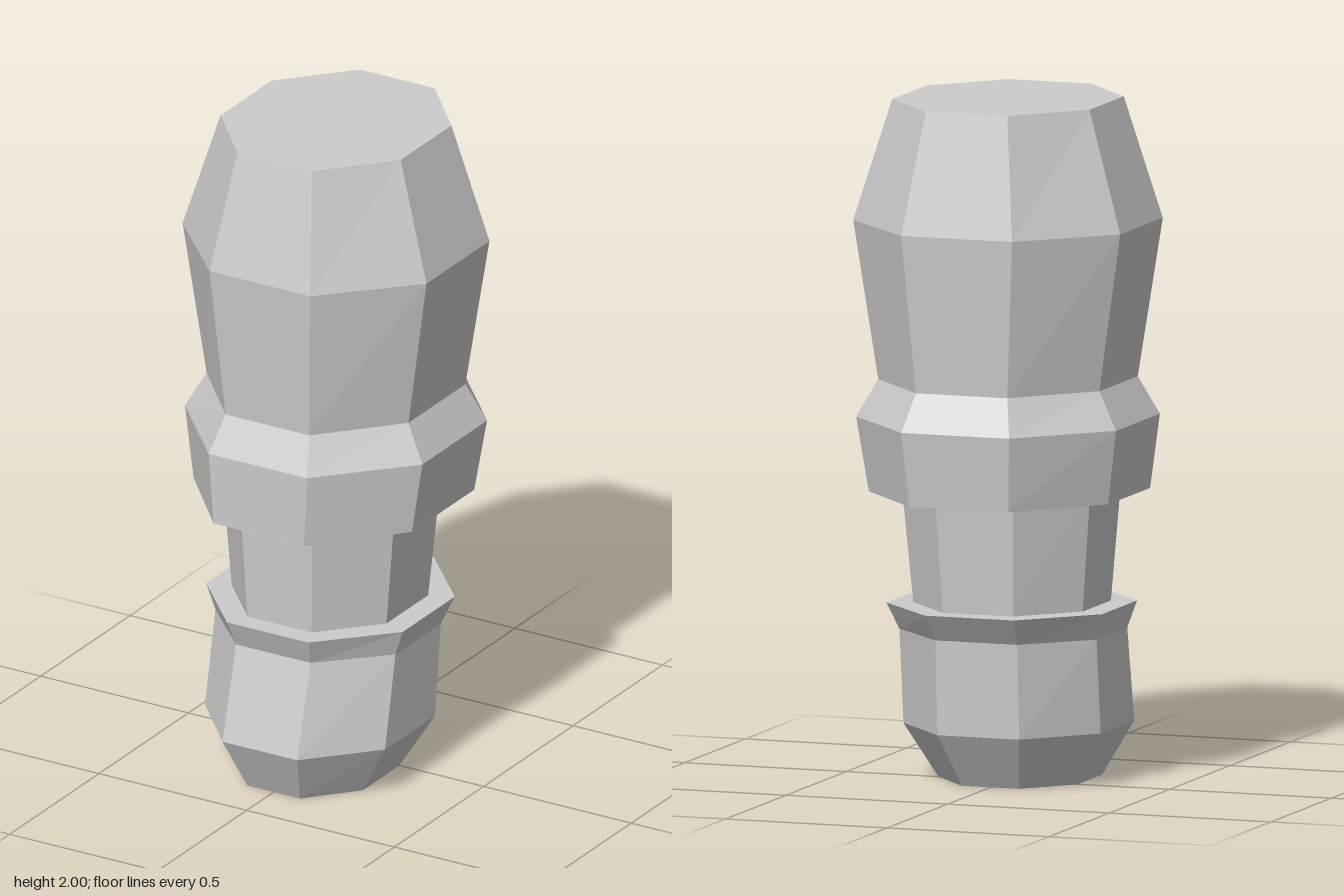
import * as THREE from 'three';

const SIDES = 8;

// Octagonal cross-section: height, half width in x, half depth in z, z centre
function ring([y, hx, hz, cz]) {
  const k = 1 / Math.cos(Math.PI / SIDES);
  return Array.from({ length: SIDES }, (_, i) => {
    const a = ((i + 0.5) / SIDES) * Math.PI * 2;
    return [Math.sin(a) * hx * k, y, cz + Math.cos(a) * hz * k];
  });
}

// Skin the rings from bottom to top; a ring of zero width closes the end
function loft(name, sections, material) {
  const pos = [];
  for (let s = 0; s < sections.length - 1; s++) {
    const lo = ring(sections[s]);
    const hi = ring(sections[s + 1]);
    for (let i = 0; i < SIDES; i++) {
      const j = (i + 1) % SIDES;
      if (sections[s][1] > 0) pos.push(...lo[i], ...lo[j], ...hi[j]);
      if (sections[s + 1][1] > 0) pos.push(...lo[i], ...hi[j], ...hi[i]);
    }
  }
  const geometry = new THREE.BufferGeometry();
  geometry.setAttribute('position', new THREE.Float32BufferAttribute(pos, 3));
  geometry.computeVertexNormals();
  const mesh = new THREE.Mesh(geometry, material);
  mesh.name = name;
  return mesh;
}

export function createModel() {
  const grey = new THREE.MeshStandardMaterial({ color: 0xcccccc, flatShading: true });
  grey.name = 'light grey';

  const model = new THREE.Group();
  model.name = 'segmentedColumn';

  // Foot bending forward, with its flared rim and flat ledge
  model.add(loft('foot', [
    [0, 0, 0, 0.102],
    [0, 0.215, 0.247, 0.102],
    [0.16, 0.305, 0.336, 0.09],
    [0.44, 0.305, 0.306, 0.044],
    [0.52, 0.333, 0.351, 0.031],
    [0.52, 0.262, 0.282, 0.034],
  ], grey));

  // Narrow neck
  model.add(loft('neck', [
    [0.52, 0.262, 0.282, 0.034],
    [0.85, 0.29, 0.307, 0.027],
  ], grey));

  // Wide collar with flat underside and sloped shoulder
  model.add(loft('collar', [
    [0.85, 0.29, 0.307, 0.027],
    [0.85, 0.37, 0.42, 0.012],
    [1.07, 0.402, 0.437, 0],
    [1.18, 0.342, 0.384, 0],
  ], grey));

  // Bulging upper body with a flat top
  model.add(loft('upperBody', [
    [1.18, 0.342, 0.384, 0],
    [1.645, 0.413, 0.425, 0],
    [2, 0.305, 0.343, 0],
    [2, 0, 0, 0],
  ], grey));

  return model;
}
